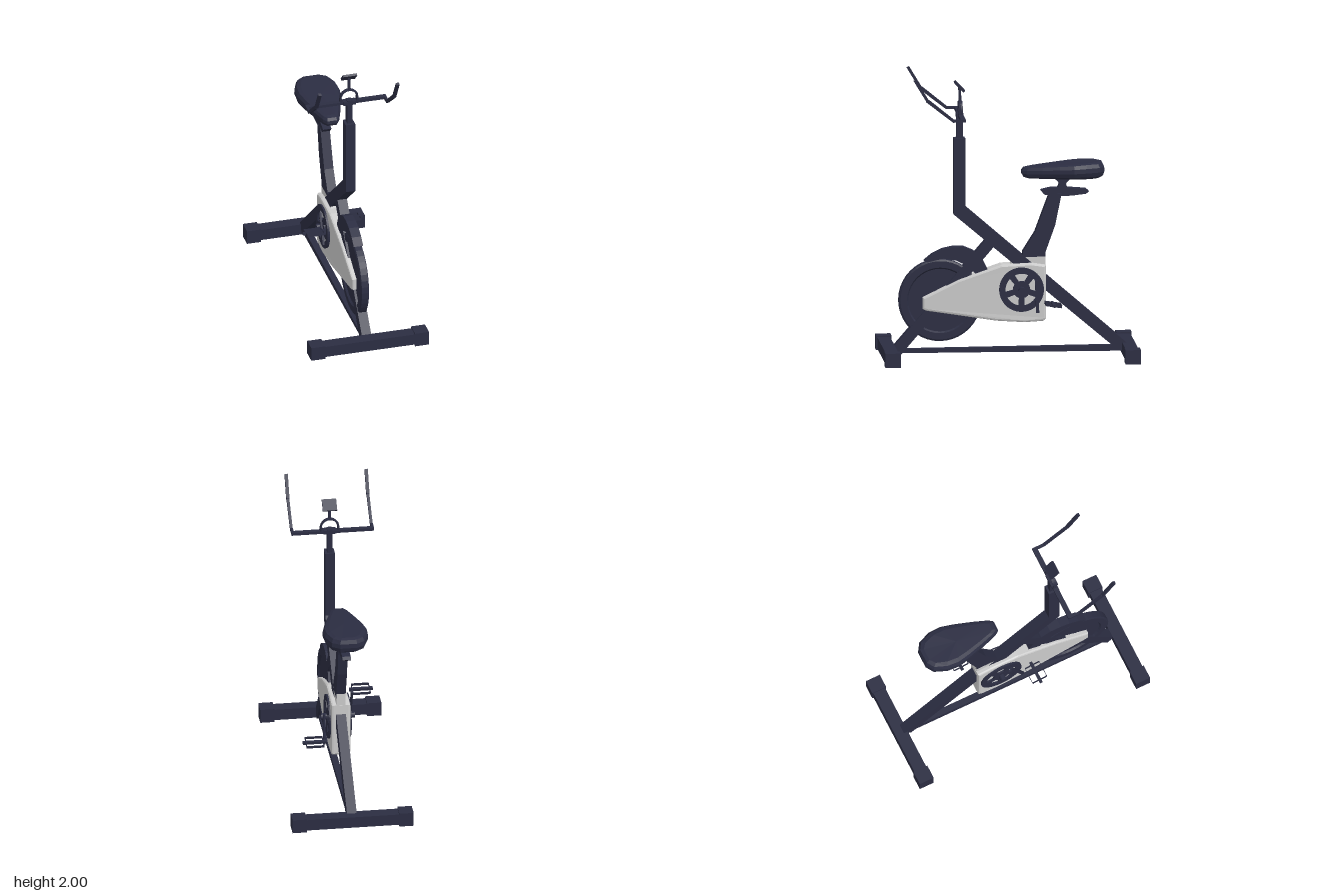
import * as THREE from 'three';

const dark = new THREE.MeshStandardMaterial({ color: 0x2b2d42, flatShading: true });
const grey = new THREE.MeshStandardMaterial({ color: 0xcccccc, flatShading: true });

export function createModel() {
  const root = new THREE.Group();

  const add = (name, geo, mat = dark, parent = root) => {
    const m = new THREE.Mesh(geo, mat);
    m.name = name;
    parent.add(m);
    return m;
  };
  const box = (name, w, h, d, x, y, z, parent = root) => {
    const m = add(name, new THREE.BoxGeometry(w, h, d), dark, parent);
    m.position.set(x, y, z);
    return m;
  };
  // Square bar between two points
  const bar = (name, a, b, w, h, parent = root) => {
    const p = new THREE.Vector3(...a), q = new THREE.Vector3(...b);
    const m = add(name, new THREE.BoxGeometry(w, h, p.distanceTo(q)), dark, parent);
    m.position.copy(p).add(q).multiplyScalar(0.5);
    m.lookAt(q);
    return m;
  };
  // Side profile of [z, y] points extruded across x, centred on x = 0
  const plate = (pts, width, bevel = 0) => {
    const shape = new THREE.Shape(pts.map(p => new THREE.Vector2(...p)));
    const depth = width - 2 * bevel;
    const geo = new THREE.ExtrudeGeometry(shape, {
      depth, bevelEnabled: bevel > 0, bevelSize: bevel, bevelOffset: -bevel,
      bevelThickness: bevel, bevelSegments: 2, curveSegments: 16,
    });
    return geo.translate(0, 0, -depth / 2).rotateY(-Math.PI / 2);
  };

  // Floor bars with end caps
  for (const s of [1, -1]) {
    box('footBar', 0.68, 0.08, 0.09, 0, 0.05, s * 0.835);
    for (const e of [1, -1]) box('footCap', 0.1, 0.1, 0.107, e * 0.373, 0.05, s * 0.835);
  }

  // Frame: bent main tube, fork and floor stretcher
  add('mainTube', plate([[-0.82, 0.09], [-0.765, 0.035], [0.38, 1.005], [0.38, 1.54],
    [0.3, 1.54], [0.3, 1.06]], 0.068));
  bar('fork', [0, 0.045, 0.78], [0, 0.81, 0.12], 0.068, 0.075);
  add('floorStretcher', plate([[0.8, 0.035], [0.8, 0.062], [-0.8, 0.072], [-0.8, 0.03]], 0.045));

  // Flywheel and its guard
  const wheelProfile = [[0, -0.022], [0.07, -0.022], [0.075, -0.017], [0.22, -0.017], [0.23, -0.03],
    [0.275, -0.03], [0.287, -0.024], [0.287, 0.024], [0.275, 0.03], [0.23, 0.03], [0.22, 0.017],
    [0.075, 0.017], [0.07, 0.022], [0, 0.022]];
  const wheel = add('flywheel', new THREE.LatheGeometry(
    wheelProfile.map(p => new THREE.Vector2(...p)), 40).rotateZ(Math.PI / 2));
  wheel.position.set(0, 0.403, 0.475);
  add('wheelGuard', plate([[0.585, 0.68], [0.53, 0.725], [0.46, 0.76], [0.39, 0.775], [0.31, 0.775],
    [0.24, 0.745], [0.18, 0.69], [0.14, 0.61], [0.15, 0.56], [0.22, 0.58], [0.29, 0.645],
    [0.36, 0.68], [0.45, 0.697], [0.56, 0.672]], 0.068));

  // Drive housing, tapering towards the front
  const housing = plate([[0.597, 0.425], [0.597, 0.345], [0.57, 0.333], [0.085, 0.258], [-0.11, 0.245],
    [-0.24, 0.253], [-0.26, 0.27], [-0.26, 0.645], [-0.16, 0.66], [0.05, 0.65], [0.35, 0.546]], 0.134, 0.014);
  const hp = housing.attributes.position;
  for (let i = 0; i < hp.count; i++) {
    const t = THREE.MathUtils.clamp((hp.getZ(i) + 0.1) / 0.7, 0, 1);
    hp.setX(i, hp.getX(i) * (1 - 0.25 * t));
  }
  housing.computeVertexNormals();
  add('driveHousing', housing, grey);
  add('housingCollar', plate([[0, 0.63], [-0.02, 0.664], [-0.085, 0.668], [-0.11, 0.733],
    [-0.258, 0.733], [-0.258, 0.62]], 0.064), grey);

  // Chainrings: rim, hub and five spokes on both sides
  const cz = -0.088, cy = 0.477;
  const ring = new THREE.Shape().absarc(0, 0, 0.155, 0, Math.PI * 2);
  for (let i = 0; i < 5; i++) {
    const a = Math.PI / 2 + i * Math.PI * 0.4;
    ring.holes.push(new THREE.Path().absarc(0, 0, 0.112, a - 0.44, a + 0.44, false)
      .absarc(0, 0, 0.06, a + 0.32, a - 0.32, true));
  }
  for (const s of [1, -1]) {
    const side = new THREE.Group();
    side.name = s > 0 ? 'leftCrankset' : 'rightCrankset';
    side.position.set(0, cy, cz);
    root.add(side);
    const cr = add('chainring', new THREE.ExtrudeGeometry(ring,
      { depth: 0.018, bevelEnabled: false, curveSegments: 24 }).translate(0, 0, -0.009).rotateY(-Math.PI / 2), dark, side);
    cr.position.x = s * 0.069;
    const hub = add('crankAxle', new THREE.CylinderGeometry(0.022, 0.022, 0.06, 12).rotateZ(Math.PI / 2), dark, side);
    hub.position.x = s * 0.088;

    // Crank arm and pedal
    const pz = -s * 0.21, py = -s * 0.087;
    bar('crankArm', [s * 0.108, 0, 0], [s * 0.108, py, pz], 0.014, 0.022, side);
    const pedal = new THREE.Group();
    pedal.name = 'pedal';
    pedal.position.set(s * 0.19, py, pz);
    pedal.rotation.x = -0.15;
    side.add(pedal);
    box('pedalAxle', 0.165, 0.018, 0.022, 0, 0, 0, pedal);
    for (const e of [1, -1]) {
      box('pedalRail', 0.12, 0.018, 0.004, 0, 0, e * 0.055, pedal);
      box('pedalEnd', 0.004, 0.018, 0.11, e * 0.06, 0, 0, pedal);
    }
  }

  // Seat post, adjuster and neck
  add('seatPost', plate([[-0.1, 0.7], [-0.1, 0.735], [-0.185, 0.87], [-0.285, 1.14], [-0.37, 1.14],
    [-0.325, 0.92], [-0.257, 0.73], [-0.257, 0.7]], 0.066));
  add('seatSlider', plate([[-0.225, 1.165], [-0.25, 1.135], [-0.32, 1.122], [-0.44, 1.125], [-0.54, 1.137],
    [-0.56, 1.153], [-0.54, 1.17], [-0.42, 1.18], [-0.3, 1.182]], 0.06));
  add('seatNeck', plate([[-0.34, 1.17], [-0.355, 1.21], [-0.31, 1.265], [-0.45, 1.265],
    [-0.4, 1.21], [-0.415, 1.17]], 0.06));

  // Saddle: pear-shaped outline stacked in layers
  const half = [[0.035, -0.093], [0.058, -0.125], [0.095, -0.23], [0.132, -0.35], [0.156, -0.45],
    [0.151, -0.54], [0.115, -0.63], [0.06, -0.665]];
  const outline = [...half, ...half.map(([x, z]) => [-x, z]).reverse()];
  const layers = [[0, 0], [0.74, 0], [0.93, 0.16], [1, 0.42], [0.99, 0.7], [0.9, 0.93], [0.72, 1], [0, 1.02]];
  const pos = [], idx = [], n = outline.length, mid = -0.4;
  for (const [s, t] of layers) for (const [x, z0] of outline) {
    const z = mid + (z0 - mid) * (s === 0 ? 0 : 0.5 + s / 2);
    const k = THREE.MathUtils.clamp((-0.09 - z) / 0.45, 0, 1);
    pos.push(x * s, 1.252 + t * (0.075 + 0.037 * k), s === 0 ? mid : z);
  }
  for (let l = 0; l < layers.length - 1; l++) for (let i = 0; i < n; i++) {
    const a = l * n + i, b = l * n + (i + 1) % n;
    idx.push(a, b, a + n, b, b + n, a + n);
  }
  const saddle = new THREE.BufferGeometry();
  saddle.setAttribute('position', new THREE.Float32BufferAttribute(pos, 3));
  saddle.setIndex(idx);
  saddle.computeVertexNormals();
  add('saddle', saddle);

  // Handlebar stem and bar
  box('stem', 0.036, 0.3, 0.046, 0, 1.57, 0.337);
  box('stemClamp', 0.09, 0.026, 0.05, 0, 1.7, 0.337);
  box('crossBar', 0.575, 0.02, 0.034, -0.021, 1.7, 0.333);
  for (const x of [-0.301, 0.258]) {
    add('handle', plate([[0.325, 1.69], [0.405, 1.69], [0.592, 1.836], [0.592, 1.85], [0.57, 1.85],
      [0.398, 1.71], [0.325, 1.71]], 0.018)).position.x = x;
    bar('grip', [x, 1.84, 0.58], [x, 1.99, 0.67], 0.022, 0.02);
  }

  // Display on an arched bracket
  const arch = add('displayArch', new THREE.TorusGeometry(0.06, 0.008, 6, 16, Math.PI));
  arch.position.set(0, 1.735, 0.333);
  arch.scale.z = 2;
  for (const e of [1, -1]) box('archLeg', 0.014, 0.04, 0.03, e * 0.06, 1.717, 0.333);
  bar('displayPost', [0, 1.79, 0.333], [0, 1.897, 0.337], 0.016, 0.018);
  box('display', 0.1, 0.085, 0.016, 0, 1.9, 0.338).rotation.x = Math.PI / 4;

  return root;
}
